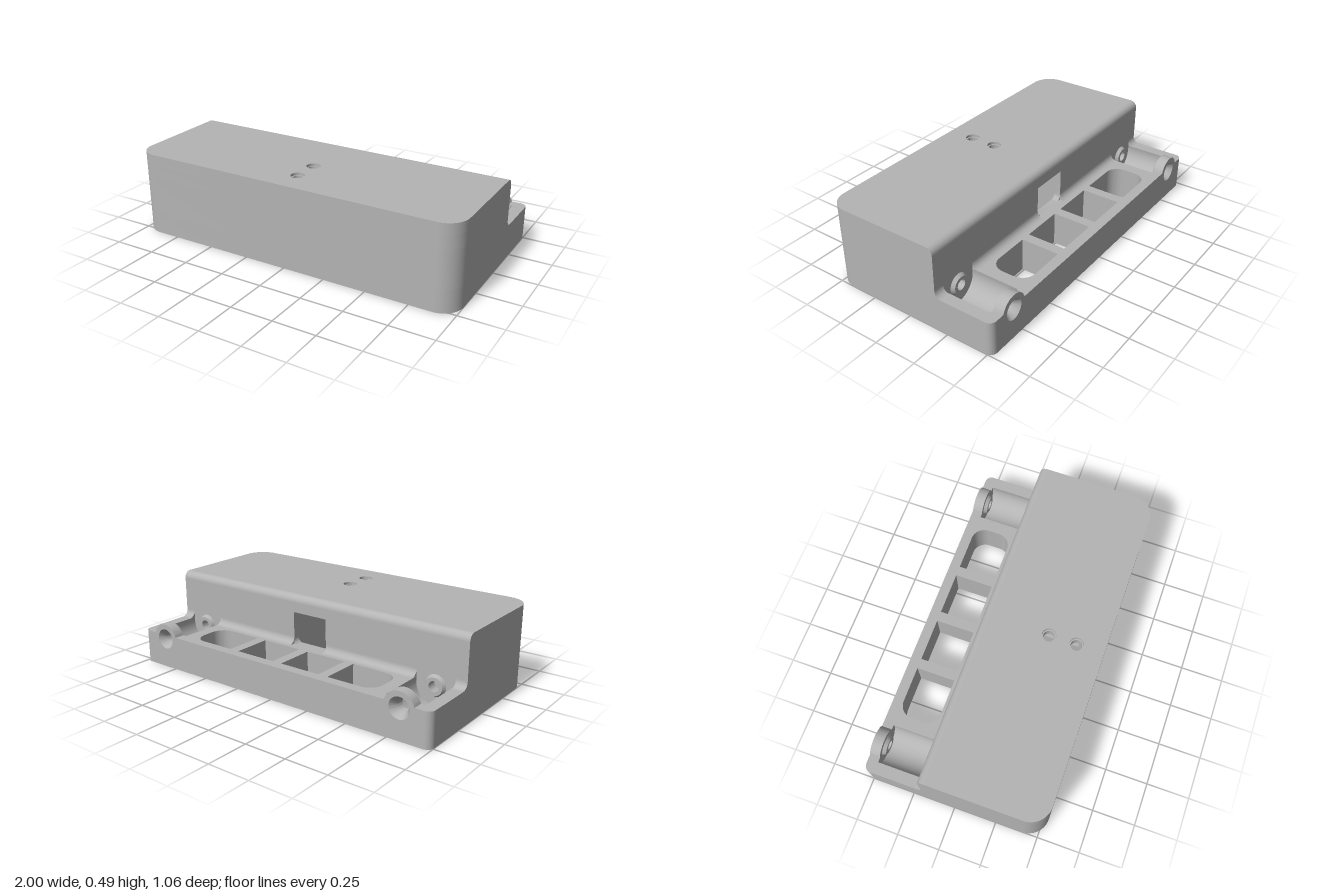
import * as THREE from 'three';
import { toCreasedNormals } from 'three/addons/utils/BufferGeometryUtils.js';

const grey = new THREE.MeshStandardMaterial({ color: 0xb4b4b4 });
grey.name = 'plain grey';

// Closed outline through [a, b, cornerRadius] points
function outline(points, path = new THREE.Shape()) {
  const n = points.length, k = 0.5523;
  points.forEach(([x, y, r = 0], i) => {
    const p = new THREE.Vector2(x, y);
    const toward = (q) => p.clone().add(new THREE.Vector2(q[0] - x, q[1] - y).setLength(r));
    const a = toward(points[(i + n - 1) % n]), b = toward(points[(i + 1) % n]);
    if (i === 0) path.moveTo(a.x, a.y); else path.lineTo(a.x, a.y);
    if (r > 0) {
      const c = a.clone().lerp(p, k), d = b.clone().lerp(p, k);
      path.bezierCurveTo(c.x, c.y, d.x, d.y, b.x, b.y);
    }
  });
  path.closePath();
  return path;
}
const hole = (points) => outline(points, new THREE.Path());
const circle = (x, y, r) => new THREE.Path().absarc(x, y, r, 0, Math.PI * 2, true);
const mirror = (points) => points.map(([x, y, r]) => [-x, y, r]);

export function createModel() {
  const model = new THREE.Group();
  model.name = 'enclosure';

  const add = (name, geometry) => {
    const mesh = new THREE.Mesh(toCreasedNormals(geometry, 0.6), grey);
    mesh.name = name;
    model.add(mesh);
    return mesh;
  };
  const extrude = (shape, depth, holes) => {
    shape.holes.push(...holes);
    return new THREE.ExtrudeGeometry(shape, { depth, bevelEnabled: false, curveSegments: 14 });
  };
  // Shape in (x, z), from y0 up to y1
  const alongY = (name, shape, y0, y1, holes = []) =>
    add(name, extrude(shape, y1 - y0, holes).rotateX(Math.PI / 2).translate(0, y1, 0));
  // Shape in (x, y), from z0 to z1
  const alongZ = (name, shape, z0, z1, holes = []) =>
    add(name, extrude(shape, z1 - z0, holes).translate(0, 0, z0));
  // Shape in (z, y), from x0 to x1
  const alongX = (name, shape, x0, x1) =>
    add(name, extrude(shape, x1 - x0, []).rotateY(-Math.PI / 2).translate(x1, 0, 0));

  const wallZ = -0.18, coreZ = -0.14, front = 0.53, back = -0.53;
  const deckY = 0.2, topY = 0.49, bossX = 0.82, bossY = 0.175;

  // Tall housing: two side cavities and a centre pocket, open below
  const shell = [[1, coreZ], [1, front, 0.12], [-1, front, 0.12], [-1, coreZ]];
  const pocket = [[-0.12, coreZ], [-0.12, 0.47], [0.12, 0.47], [0.12, coreZ]];
  const cavity = [[0.21, -0.1, 0.09], [0.95, -0.1, 0.09], [0.95, 0.47, 0.09], [0.21, 0.47, 0.09]];
  for (const [y0, y1] of [[0, 0.13], [0.35, 0.43]]) {
    alongY('housingWalls', outline([...shell, ...pocket]), y0, y1, [hole(cavity), hole(mirror(cavity))]);
  }
  // Middle layer, with a passage through both dividers
  const passage = [[0.12, coreZ], [0.12, 0.12], [0.21, 0.12], ...cavity, [0.21, 0.37], [0.12, 0.37], [0.12, 0.47]];
  alongY('housingPassageWalls', outline([...shell, ...mirror(passage), ...passage.slice().reverse()]), 0.13, 0.35);

  // Lid with two stepped round holes
  for (const [y0, y1, r] of [[0.43, 0.475, 0.032], [0.475, topY, 0.04]]) {
    alongY('lid', outline(shell), y0, y1, [circle(0, 0.21, r), circle(0, 0.37, r)]);
  }

  // Back wall with the window and screw holes, and its rounded top edge
  alongZ('backWall', outline([[-1, 0], [1, 0], [1, 0.45], [-1, 0.45]]), wallZ, coreZ, [
    hole([[-0.115, deckY, 0.03], [0.115, deckY, 0.03], [0.115, 0.39], [-0.115, 0.39]]),
    circle(bossX, bossY, 0.03), circle(-bossX, bossY, 0.03),
  ]);
  alongX('roundedTopEdge', outline([[coreZ, 0.45], [coreZ, topY], [wallZ, topY, 0.04], [wallZ, 0.45]]), -1, 1);

  // Concave fillet between wall and deck, broken at window and bosses
  const fillet = () => {
    const s = new THREE.Shape();
    s.moveTo(wallZ, deckY);
    s.lineTo(wallZ, deckY + 0.04);
    s.absarc(wallZ - 0.04, deckY + 0.04, 0.04, 0, -Math.PI / 2, true);
    s.closePath();
    return s;
  };
  for (const [x0, x1] of [[0.115, 0.705], [0.935, 1]]) {
    alongX('deckFillet', fillet(), x0, x1);
    alongX('deckFillet', fillet(), -x1, -x0);
  }

  // Low deck with four through slots, and its outer ends
  const inner = [[0.03, -0.47], [0.285, -0.47], [0.285, -0.24], [0.03, -0.24]];
  const outer = [[0.345, -0.47], [0.635, -0.47, 0.08], [0.635, -0.24, 0.08], [0.345, -0.24]];
  alongY('deck', outline([[-0.7, back], [0.7, back], [0.7, wallZ], [-0.7, wallZ]]), 0, deckY,
    [inner, outer].flatMap((s) => [hole(s), hole(mirror(s))]));
  const end = [[0.94, back], [1, back, 0.04], [1, wallZ], [0.94, wallZ]];
  alongY('deckEnd', outline(end), 0, deckY);
  alongY('deckEnd', outline(mirror(end)), 0, deckY);

  // Screw mounts: trough, collar and tapered rings
  const mountSection = (cx, r, clockwise) => {
    const a = Math.asin((deckY - bossY) / r), s = new THREE.Shape();
    s.moveTo(cx - 0.12, 0);
    s.lineTo(cx + 0.12, 0);
    s.lineTo(cx + 0.12, deckY);
    s.absarc(cx, bossY, r, a, Math.PI - a, clockwise);
    s.lineTo(cx - 0.12, deckY);
    s.closePath();
    return s;
  };
  const ring = (name, cx, profile) => {
    const g = new THREE.LatheGeometry(profile.map(([r, z]) => new THREE.Vector2(r, z)), 32);
    const mesh = add(name, g.rotateX(Math.PI / 2).translate(cx, bossY, 0));
    return mesh;
  };
  for (const cx of [-bossX, bossX]) {
    alongZ('screwTrough', mountSection(cx, 0.115, true), -0.47, wallZ);
    alongZ('screwCollar', mountSection(cx, 0.09, false), back, -0.47, [circle(cx, bossY, 0.06)]);
    // Countersunk bore ending in a raised ring
    ring('countersunkBore', cx, [[0.062, -0.47], [0.05, -0.45], [0.03, -0.45], [0.033, -0.49], [0.06, back]].reverse());
    ring('wallRing', cx, [[0.03, wallZ + 0.04], [0.03, -0.2], [0.05, -0.2], [0.062, wallZ]].reverse());
  }
  // Lathe skins are open, so they show from both sides
  const openGrey = grey;
  openGrey.side = THREE.DoubleSide;
  return model;
}
